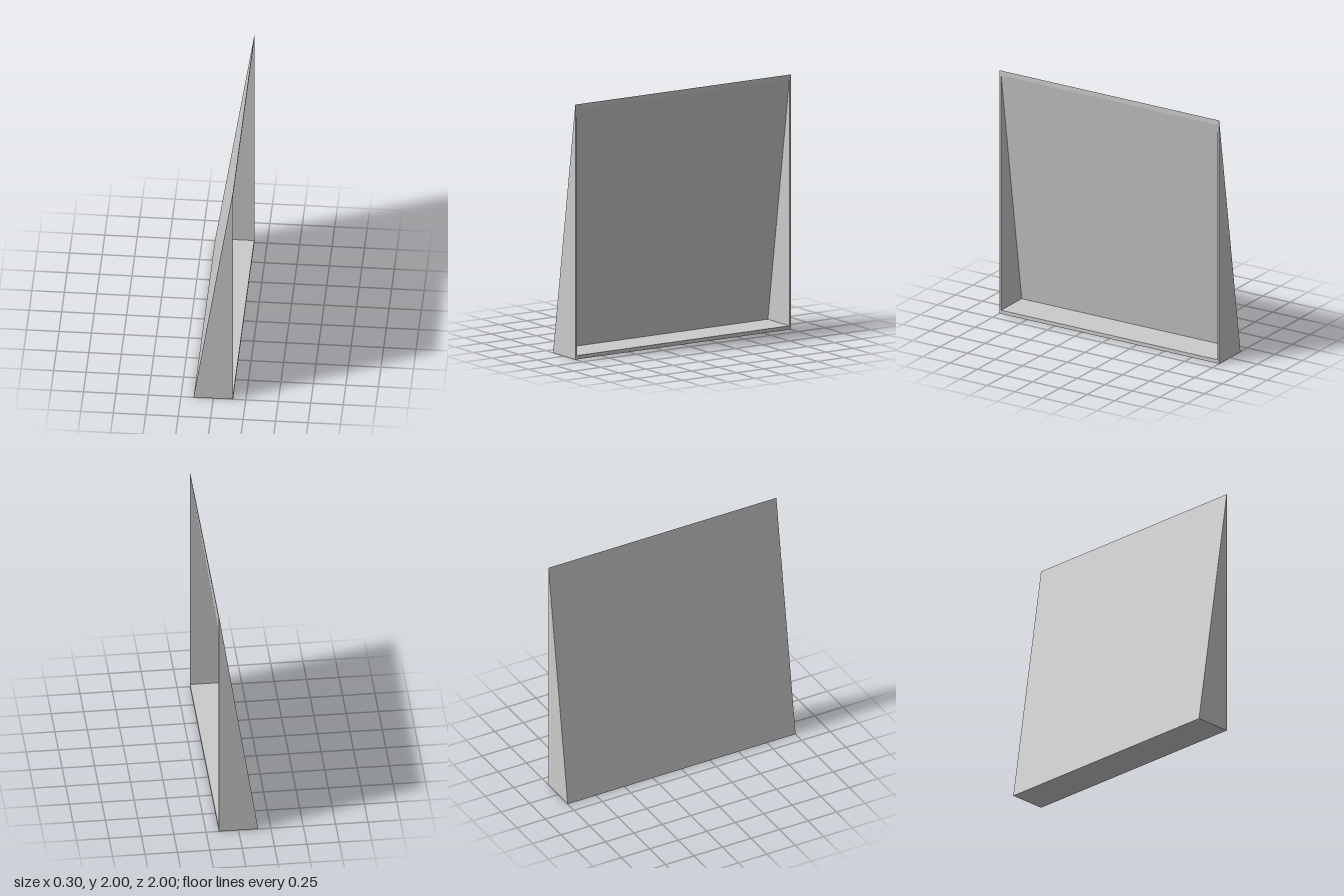
import * as THREE from 'three';

const W = 0.152;      // half width of the base
const H = 2;          // height
const D = 1;          // half depth
const WALL = 0.015;   // end wall thickness
const FLOOR = 0.03;   // floor thickness
const SKIN = 0.006;   // sloping panel thickness, measured along x

// x of the sloping outer face at height y
const slopeX = (y) => -W + (2 * W * y) / H;

const material = new THREE.MeshStandardMaterial({ color: 0xcccccc, flatShading: true });

// Extrudes an x-y profile from z0 to z1
function slab(name, points, z0, z1) {
  const shape = new THREE.Shape(points.map(([x, y]) => new THREE.Vector2(x, y)));
  const geometry = new THREE.ExtrudeGeometry(shape, { depth: z1 - z0, bevelEnabled: false });
  geometry.translate(0, 0, z0);
  const mesh = new THREE.Mesh(geometry, material);
  mesh.name = name;
  return mesh;
}

export function createModel() {
  const group = new THREE.Group();
  group.name = 'openWedge';
  const inner = D - WALL;

  // Triangular walls closing both ends
  const triangle = [[-W, 0], [W, 0], [W, H]];
  group.add(slab('frontWall', triangle, inner, D));
  group.add(slab('backWall', triangle, -D, -inner));

  // Floor between the walls
  group.add(slab('floor', [[-W, 0], [W, 0], [W, FLOOR], [slopeX(FLOOR), FLOOR]], -inner, inner));

  // Thin sloping panel, leaving the +x side open
  const topInner = H - (SKIN * H) / (2 * W);
  group.add(slab('slopingPanel', [
    [slopeX(FLOOR), FLOOR], [slopeX(FLOOR) + SKIN, FLOOR], [W, topInner], [W, H],
  ], -inner, inner));

  return group;
}
